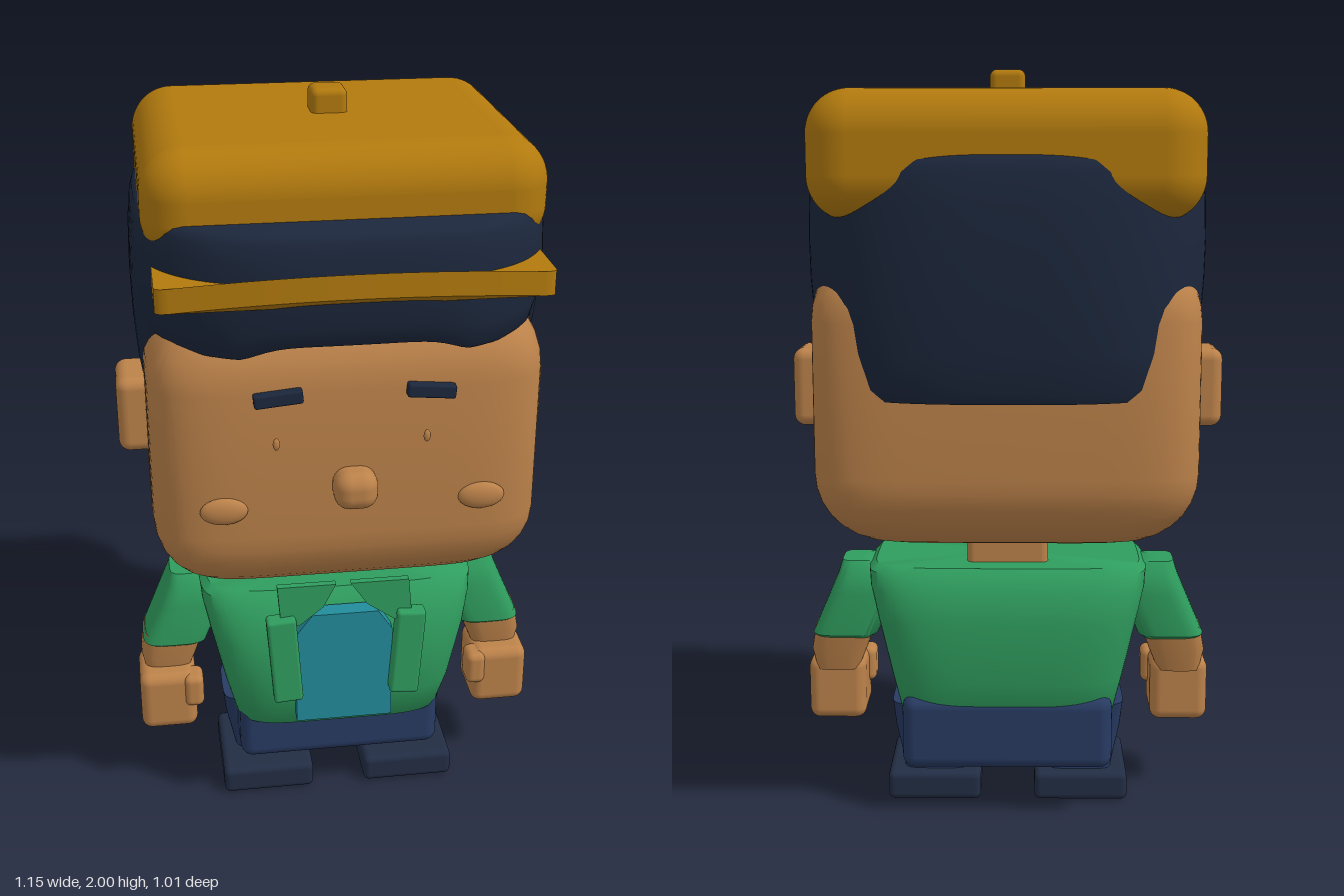
import * as THREE from 'three';
import { toCreasedNormals } from 'three/addons/utils/BufferGeometryUtils.js';
import { RoundedBoxGeometry } from 'three/addons/geometries/RoundedBoxGeometry.js';

const paint = (name, color) => {
  const m = new THREE.MeshStandardMaterial({ color });
  m.name = name;
  return m;
};

// Stack of superellipse rings, each [y or y(u), half width, front z, back z, centre x]
function loft(rings, power = 6, segs = 64, crease = 0.7) {
  const pos = [], index = [];
  for (const [y, hx, zf, zb, cx = 0] of rings) {
    for (let j = 0; j < segs; j++) {
      const t = (j / segs) * Math.PI * 2;
      const c = Math.cos(t), s = Math.sin(t);
      const px = Math.sign(c) * Math.abs(c) ** (2 / power);
      const u = Math.sign(s) * Math.abs(s) ** (2 / power);
      pos.push(cx + hx * px, typeof y === 'function' ? y(u) : y, (zf + zb) / 2 + ((zf - zb) / 2) * u);
    }
  }
  const last = rings.length - 1;
  for (const k of [0, last]) {
    const [y, , zf, zb, cx = 0] = rings[k];
    pos.push(cx, typeof y === 'function' ? y(0) : y, (zf + zb) / 2);
  }
  const base = rings.length * segs;
  for (let j = 0; j < segs; j++) {
    const n = (j + 1) % segs;
    for (let i = 0; i < last; i++) {
      const a = i * segs + j, b = i * segs + n;
      index.push(a, a + segs, b, b, a + segs, b + segs);
    }
    index.push(base, j, n, base + 1, last * segs + n, last * segs + j);
  }
  const g = new THREE.BufferGeometry();
  g.setAttribute('position', new THREE.Float32BufferAttribute(pos, 3));
  g.setIndex(index);
  return toCreasedNormals(g, crease);
}

// Rounded box given by its bounds
function block(x0, x1, y0, y1, z0, z1, r, segs = 4) {
  const g = new RoundedBoxGeometry(x1 - x0, y1 - y0, z1 - z0, segs, r);
  return g.translate((x0 + x1) / 2, (y0 + y1) / 2, (z0 + z1) / 2);
}

// Move every vertex by a rule
function bend(g, rule) {
  const p = g.attributes.position, v = new THREE.Vector3();
  for (let i = 0; i < p.count; i++) {
    rule(v.fromBufferAttribute(p, i));
    p.setXYZ(i, v.x, v.y, v.z);
  }
  return g;
}

export function createModel() {
  const model = new THREE.Group();
  const skin = paint('skin', 0xbc824a), hairColor = paint('hair navy', 0x1c273c);
  const gold = paint('cap gold', 0xb27a0e), green = paint('jacket green', 0x2f9d5e);
  const teal = paint('undershirt teal', 0x228c9c), denim = paint('trouser blue', 0x283b63);
  const shoe = paint('shoe navy', 0x222d44);
  const add = (name, geometry, material) => {
    const m = new THREE.Mesh(geometry, material);
    m.name = name;
    model.add(m);
    return m;
  };

  // Head: block with rounded top and bottom
  const headRings = [];
  const R = 0.2;
  for (let i = 0; i <= 8; i++) {
    const a = (i / 8) * Math.PI / 2, d = R * (1 - Math.sin(a));
    headRings.push([0.78 + R * (1 - Math.cos(a)), 0.5 - d, 0.42 - d, -0.44 + d]);
  }
  for (let i = 0; i <= 8; i++) {
    const a = (i / 8) * Math.PI / 2, d = R * (1 - Math.cos(a));
    headRings.push([1.37 + R * Math.sin(a), 0.5 - d, 0.42 - d, -0.44 + d]);
  }
  add('head', loft(headRings, 7, 96), skin);
  add('neck', block(-0.11, 0.11, 0.64, 0.84, -0.13, 0.1, 0.02), skin);
  add('nose', block(-0.055, 0.055, 1.07, 1.17, 0.39, 0.49, 0.04), skin);

  // Hair: bulging shell, short in front, longer at the sides and back
  const step = THREE.MathUtils.smoothstep;
  const hem = (u) => 1.26 + 0.21 * step(u, 0.2, 0.55) + 0.035 * step(u, 0.93, 1) - 0.08 * step(-u, 0.4, 0.9);
  const hairRing = (f, s) => [(u) => THREE.MathUtils.lerp(hem(u), 1.78, f), 0.52 * s, -0.01 + 0.5 * s, -0.01 - 0.5 * s];
  add('hair', loft([
    hairRing(0, 0.8), hairRing(0, 0.935), hairRing(0.05, 0.96), hairRing(0.2, 0.982), hairRing(0.4, 0.996),
    hairRing(0.6, 1), hairRing(0.8, 0.994), hairRing(0.93, 0.98), hairRing(0.98, 0.965), hairRing(1, 0.94),
  ], 3, 128), hairColor);

  // Cap: crown, brim and top button
  const crown = block(-0.49, 0.49, 1.62, 1.94, -0.48, 0.36, 0.11, 8);
  add('capCrown', bend(crown, (v) => { if (v.y < 1.78) v.y += 0.045 * step(v.z, -0.2, 0.25); }), gold);
  add('capButton', block(-0.046, 0.046, 1.92, 2, -0.108, -0.014, 0.018), gold);
  const brimShape = new THREE.Shape();
  brimShape.moveTo(-0.47, -0.29);
  brimShape.lineTo(0.47, -0.29);
  brimShape.lineTo(0.47, -0.455);
  brimShape.quadraticCurveTo(0.47, -0.475, 0.44, -0.48);
  brimShape.quadraticCurveTo(0, -0.525, -0.44, -0.48);
  brimShape.quadraticCurveTo(-0.47, -0.475, -0.47, -0.455);
  const brim = new THREE.ExtrudeGeometry(brimShape, { depth: 0.06, bevelEnabled: false, curveSegments: 24 });
  brim.rotateX(-Math.PI / 2);
  add('capBrim', bend(brim, (v) => { v.y += 1.61 + 0.025 * (1 - (v.x / 0.47) ** 2); }), gold);

  // Jacket body, hips and undershirt panel
  add('jacket', loft([
    [0.25, 0.275, 0.2, -0.2], [0.275, 0.295, 0.235, -0.225], [0.38, 0.32, 0.27, -0.245], [0.55, 0.358, 0.275, -0.26],
    [0.63, 0.376, 0.245, -0.245], [0.675, 0.38, 0.22, -0.22], [0.693, 0.362, 0.2, -0.2],
  ], 5), green);
  add('hips', block(-0.285, 0.285, 0.135, 0.34, -0.235, 0.205, 0.035), denim);
  const panel = new THREE.Shape([[-0.135, 0.32], [0.13, 0.32], [0.13, 0.6], [0.09, 0.66], [-0.09, 0.66], [-0.135, 0.6]]
    .map(([x, y]) => new THREE.Vector2(x, y)));
  add('undershirt', new THREE.ExtrudeGeometry(panel, { depth: 0.05, bevelEnabled: false }).translate(0, 0, 0.24), teal);

  for (const [side, s] of [['left', 1], ['right', -1]]) {
    // Face details
    add(side + 'Ear', block(s * 0.52 - 0.055, s * 0.52 + 0.055, 1.065, 1.275, -0.12, 0.06, 0.03), skin);
    const brow = add(side + 'Eyebrow', new RoundedBoxGeometry(0.12, 0.034, 0.03, 2, 0.006), hairColor);
    brow.position.set(s * 0.187, 1.367, 0.43);
    brow.rotation.z = -s * 0.09;
    const eye = add(side + 'Eye', new THREE.SphereGeometry(1, 12, 8), skin);
    eye.scale.set(0.009, 0.016, 0.006);
    eye.position.set(s * 0.185 - 0.01, 1.255, 0.45);
    const cheek = add(side + 'Cheek', new THREE.SphereGeometry(1, 24, 12), skin);
    cheek.scale.set(0.06, 0.036, 0.02);
    cheek.position.set(s * 0.325, 1.065, 0.42);

    // Lapel and folded collar
    const lapel = add(side + 'Lapel', new RoundedBoxGeometry(0.08, 0.26, 0.05, 2, 0.01), green);
    lapel.position.set(s * 0.168, 0.54, 0.302);
    lapel.rotation.z = -s * 0.07;
    const flap = new THREE.Shape([[0.02, 0.73], [0.18, 0.73], [0.178, 0.67], [0.13, 0.65], [0.06, 0.685]]
      .map(([x, y]) => new THREE.Vector2(s * x, y)));
    const collar = new THREE.ExtrudeGeometry(flap, { depth: 0.02, bevelEnabled: false });
    add(side + 'Collar', bend(collar, (v) => { v.z += 0.3 - (v.y - 0.65) * 0.85; }), green);

    // Sleeve, forearm and hand
    add(side + 'Sleeve', loft([
      [0.455, 0.075, 0.075, -0.075, s * 0.458], [0.47, 0.092, 0.092, -0.092, s * 0.454], [0.59, 0.09, 0.092, -0.102, s * 0.404],
      [0.645, 0.076, 0.08, -0.096, s * 0.395], [0.68, 0.045, 0.055, -0.07, s * 0.415],
    ], 4, 32), green);
    add(side + 'Forearm', loft([
      [0.36, 0.06, 0.07, -0.06, s * 0.48], [0.42, 0.078, 0.082, -0.075, s * 0.474], [0.49, 0.084, 0.088, -0.088, s * 0.455],
    ], 4, 32), skin);
    add(side + 'Hand', block(s * 0.482 - 0.08, s * 0.482 + 0.08, 0.21, 0.39, -0.05, 0.13, 0.03), skin);
    add(side + 'Thumb', block(s * 0.41 - 0.028, s * 0.41 + 0.028, 0.285, 0.385, 0.06, 0.14, 0.02), skin);

    // Leg and shoe
    add(side + 'Leg', loft([
      [0.07, 0.09, 0.07, -0.085, s * 0.2], [0.12, 0.095, 0.075, -0.08, s * 0.205],
      [0.2, 0.105, 0.085, -0.085, s * 0.212], [0.275, 0.105, 0.1, -0.1, s * 0.22],
    ], 5, 32), denim);
    add(side + 'Shoe', block(s * 0.205 - 0.13, s * 0.205 + 0.13, 0, 0.08, -0.12, 0.18, 0.018), shoe);
  }
  return model;
}
